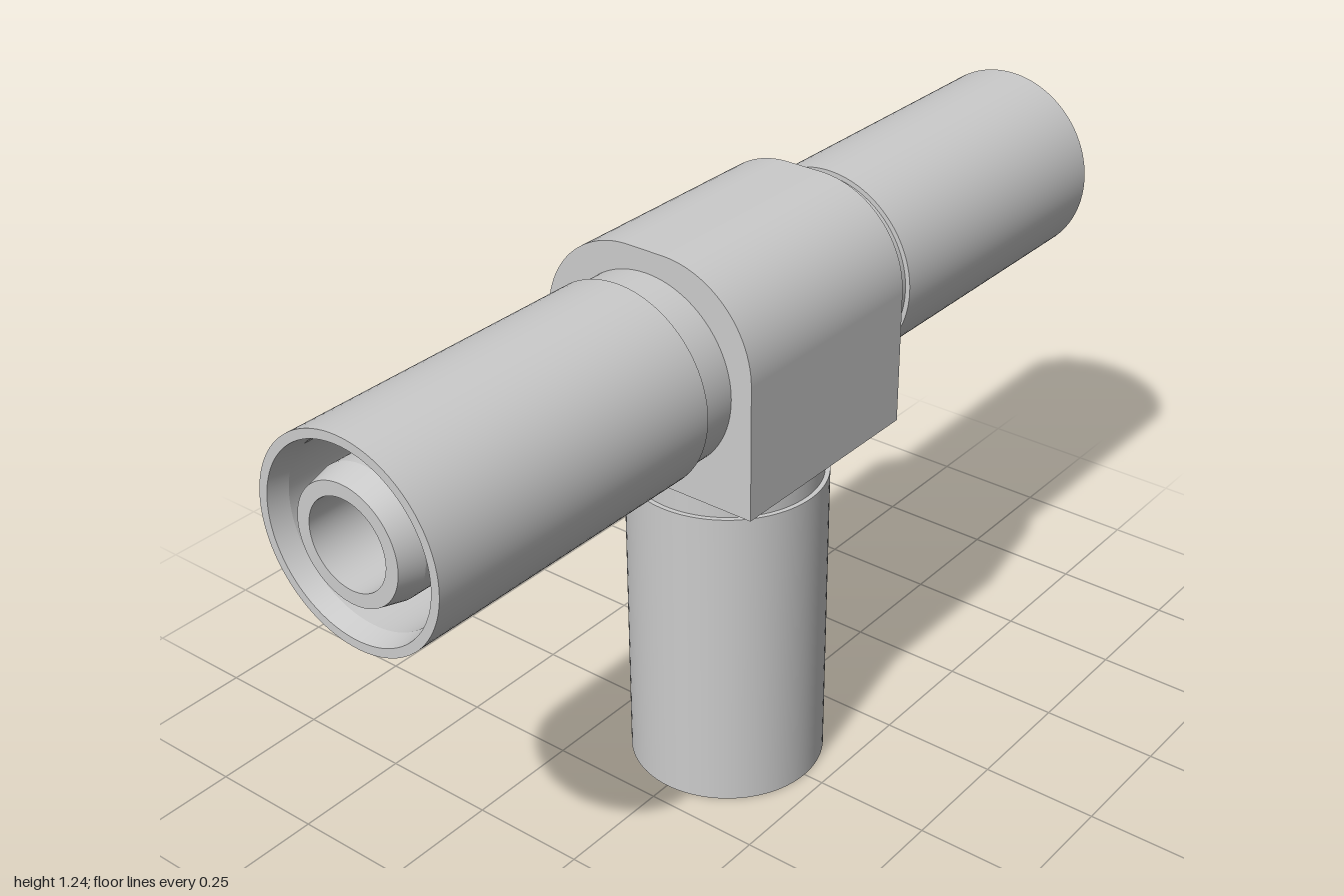
import * as THREE from 'three';
import { mergeGeometries } from 'three/addons/utils/BufferGeometryUtils.js';

const SEG = 96;
const AXIS_Y = 1;      // height of the horizontal pipe axis
const HALF = 0.24;     // half size of the central block
const CORNER = 0.2;    // rounding of the block's top edges
const BORE = 0.0875;
const material = new THREE.MeshStandardMaterial({ color: 0xcccccc });

function addMesh(parent, name, geometry) {
  const mesh = new THREE.Mesh(geometry, material);
  mesh.name = name;
  parent.add(mesh);
  return mesh;
}

// Turn each profile segment separately so the edges between them stay sharp
function sharpLathe(points) {
  const bands = [];
  for (let i = 0; i < points.length - 1; i++) {
    const pair = [points[i], points[i + 1]].map(([r, d]) => new THREE.Vector2(r, d));
    bands.push(new THREE.LatheGeometry(pair, SEG));
  }
  return mergeGeometries(bands);
}

// Bore wall whose inner end is mitred where it meets the other bores
function boreGeometry(innerEnd) {
  const geo = new THREE.LatheGeometry([new THREE.Vector2(BORE, 1), new THREE.Vector2(BORE, 0)], SEG);
  const pos = geo.attributes.position;
  for (let i = 0; i < pos.count; i++) {
    if (pos.getY(i) < 0.5) pos.setY(i, innerEnd(pos.getX(i)));
  }
  return geo;
}

// Neck, sleeve and inner spigot of one pipe end, pointing along +y from the centre
function createArm(name, innerEnd) {
  const arm = new THREE.Group();
  arm.name = name;
  addMesh(arm, 'neck', sharpLathe([[0.195, HALF], [0.195, 0.32]]));
  addMesh(arm, 'sleeve', sharpLathe([
    [0.195, 0.32], [0.205, 0.32], [0.205, 1], [0.187, 1],
    [0.178, 0.96], [0.178, 0.34], [0.127, 0.34],
  ]));
  addMesh(arm, 'spigot', sharpLathe([[0.127, 0.34], [0.127, 0.95], [0.115, 1], [BORE, 1]]));
  addMesh(arm, 'bore', boreGeometry(innerEnd));
  arm.position.y = AXIS_Y;
  return arm;
}

// Block cross-section from front bottom, over the rounded top, to back bottom
function blockProfile() {
  const c = HALF - CORNER;
  const steps = 24;
  const points = [{ z: HALF, y: -HALF, a: 0 }];
  for (const side of [1, -1]) {
    for (let i = 0; i <= steps; i++) {
      const a = (i / steps + (side < 0 ? 1 : 0)) * Math.PI / 2;
      points.push({ z: side * c + CORNER * Math.cos(a), y: c + CORNER * Math.sin(a), a });
    }
  }
  points.push({ z: -HALF, y: -HALF, a: Math.PI });
  return points;
}

// Front, top and back skin of the block
function blockSkin(profile) {
  const position = [], normal = [], index = [];
  profile.forEach((p, i) => {
    for (const x of [-HALF, HALF]) {
      position.push(x, p.y, p.z);
      normal.push(0, Math.sin(p.a), Math.cos(p.a));
    }
    if (i < profile.length - 1) {
      const k = i * 2;
      index.push(k, k + 1, k + 3, k, k + 3, k + 2);
    }
  });
  const geo = new THREE.BufferGeometry();
  geo.setAttribute('position', new THREE.Float32BufferAttribute(position, 3));
  geo.setAttribute('normal', new THREE.Float32BufferAttribute(normal, 3));
  geo.setIndex(index);
  return geo;
}

// Flat face with a round opening hidden under the neck
function piercedFace(points) {
  const shape = new THREE.Shape(points);
  shape.holes.push(new THREE.Path().absarc(0, 0, 0.15, 0, Math.PI * 2, true));
  return new THREE.ShapeGeometry(shape, 32);
}

function createBlock() {
  const block = new THREE.Group();
  block.name = 'centralBlock';
  block.position.y = AXIS_Y;
  const profile = blockProfile();
  addMesh(block, 'blockSkin', blockSkin(profile));

  const outline = profile.map((p) => new THREE.Vector2(p.z, p.y));
  for (const side of [1, -1]) {
    const face = piercedFace(outline).rotateY(side * Math.PI / 2).translate(side * HALF, 0, 0);
    addMesh(block, side > 0 ? 'leftFace' : 'rightFace', face);
  }

  const square = [[-1, -1], [1, -1], [1, 1], [-1, 1]].map(([x, y]) => new THREE.Vector2(x * HALF, y * HALF));
  addMesh(block, 'bottomFace', piercedFace(square).rotateX(Math.PI / 2).translate(0, -HALF, 0));
  return block;
}

export function createModel() {
  const model = new THREE.Group();
  model.name = 'pipeTee';
  model.add(createBlock());

  // Two horizontal arms, mirrored by a half turn
  for (const side of [1, -1]) {
    const arm = createArm(side > 0 ? 'leftArm' : 'rightArm', (x) => Math.max(0, x));
    arm.rotation.set(0, side > 0 ? 0 : Math.PI, -Math.PI / 2);
    model.add(arm);
  }

  // Downward arm
  const lower = createArm('lowerArm', (x) => Math.abs(x));
  lower.rotation.x = Math.PI;
  model.add(lower);
  return model;
}
